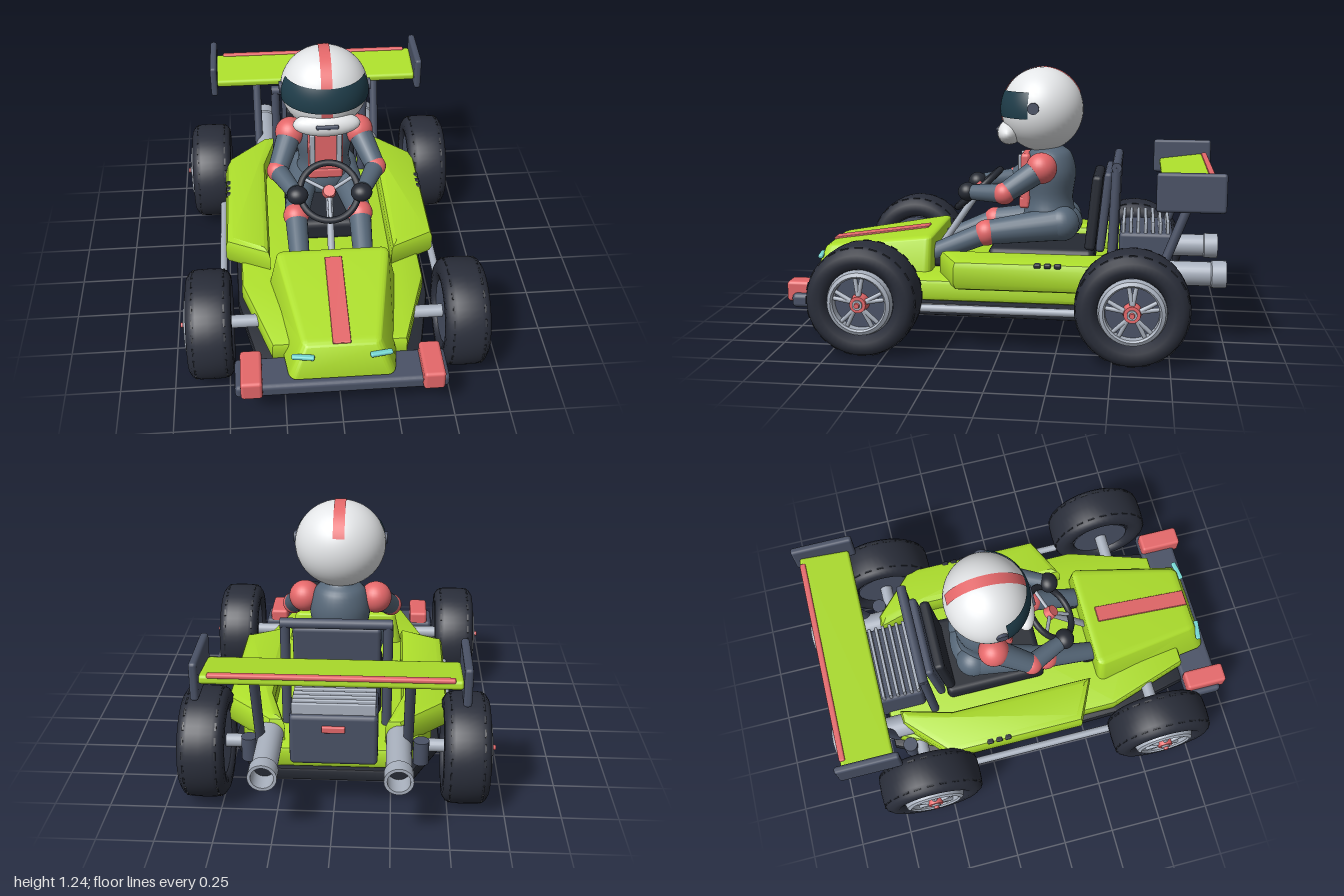
import * as THREE from 'three';
import { toCreasedNormals } from 'three/addons/utils/BufferGeometryUtils.js';
import { RoundedBoxGeometry } from 'three/addons/geometries/RoundedBoxGeometry.js';

const mat = (color, side = THREE.FrontSide) => new THREE.MeshStandardMaterial({ color, side });
const GREEN = mat(0xaee02c), FRAME = mat(0x4a5266), TYRE = mat(0x2a2e3a), BLACK = mat(0x262a33);
const RED = mat(0xe5686a), METAL = mat(0xa9b1be), WHITE = mat(0xe4e6e8), SUIT = mat(0x566778);
const VISOR = mat(0x1f3d4a, THREE.DoubleSide), STRIPE = mat(0xe5686a, THREE.DoubleSide), LAMP = mat(0x74d6d2);
const V = (x, y, z) => new THREE.Vector3(x, y, z);

export function createModel() {
  const root = new THREE.Group();
  const add = (name, geo, m, p = [0, 0, 0], parent = root) => {
    const o = new THREE.Mesh(geo, m);
    o.name = name;
    o.position.set(...p);
    parent.add(o);
    return o;
  };
  const box = (name, m, size, p, r = 0.01, parent = root) =>
    add(name, new RoundedBoxGeometry(...size, 2, r), m, p, parent);
  const ball = (name, m, r, p, scale = [1, 1, 1], parent = root) => {
    const o = add(name, new THREE.SphereGeometry(r, 28, 20), m, p, parent);
    o.scale.set(...scale);
    return o;
  };
  // Round bar from a to b, with its own radius at each end
  const rod = (name, m, a, b, ra, rb = ra, parent = root) => {
    const A = V(...a), B = V(...b), d = B.clone().sub(A);
    const o = add(name, new THREE.CylinderGeometry(rb, ra, d.length(), 20), m,
      A.clone().add(B).multiplyScalar(0.5).toArray(), parent);
    o.quaternion.setFromUnitVectors(V(0, 1, 0), d.normalize());
    return o;
  };
  // Bevelled slab: plan outline of [x, z] points between two heights
  const slab = (name, m, pts, y0, y1, b) => {
    const shape = new THREE.Shape(pts.map(([x, z]) => new THREE.Vector2(x, -z)));
    const geo = new THREE.ExtrudeGeometry(shape, {
      depth: y1 - y0 - 2 * b, bevelSize: b, bevelThickness: b, bevelOffset: -b, bevelSegments: 2 });
    geo.rotateX(-Math.PI / 2).translate(0, y0 + b, 0);
    return add(name, toCreasedNormals(geo, 0.5), m);
  };
  const mirror = (half) => [...half, ...half.map(([x, z]) => [-x, z]).reverse()];

  // Chassis
  slab('floorPan', BLACK, mirror([[0.36, 0.82], [0.45, 0.42], [0.47, -0.45], [0.34, -0.72]]), 0.14, 0.2, 0.012);
  slab('lowerBody', GREEN, mirror([[0.3, 0.8], [0.43, 0.4], [0.43, -0.46], [0.31, -0.71]]), 0.2, 0.3, 0.02);
  box('frontBumper', FRAME, [0.94, 0.065, 0.18], [0, 0.19, 0.88], 0.02);

  // Nose: a rounded box tapered forwards and upwards
  const nose = new RoundedBoxGeometry(1, 1, 1, 4, 0.07), np = nose.attributes.position;
  const mix = THREE.MathUtils.lerp;
  for (let i = 0; i < np.count; i++) {
    const u = np.getX(i) * 2, v = np.getY(i) + 0.5, w = np.getZ(i) + 0.5;
    np.setXYZ(i, u * mix(mix(0.315, 0.265, v), mix(0.235, 0.165, v), w),
      mix(0.225, mix(0.465, 0.385, w), v), mix(0.355, mix(0.95, 0.895, v), w));
  }
  add('nose', toCreasedNormals(nose, 0.5), GREEN);
  const stripe = box('noseStripe', RED, [0.08, 0.012, 0.48], [0, 0.423, 0.655], 0.004);
  stripe.rotation.x = Math.atan(0.08 / 0.54);

  // Both-sided bodywork and frame parts
  for (const s of [-1, 1]) {
    slab('sidePod', GREEN, [[0.29, 0.31], [0.5, 0.21], [0.5, -0.45], [0.29, -0.65], [0.22, -0.65], [0.29, -0.4]]
      .map(([x, z]) => [s * x, z]), 0.27, 0.41, 0.035);
    for (const z of [-0.165, -0.21, -0.255])
      box('podVent', BLACK, [0.03, 0.022, 0.032], [s * 0.483, 0.395, z], 0.008);
    box('bumperBlock', RED, [0.095, 0.095, 0.205], [s * 0.397, 0.227, 0.897], 0.015);
    box('headlight', LAMP, [0.1, 0.02, 0.025], [s * 0.17, 0.338, 0.915], 0.008).rotation.y = s * 0.15;
    rod('sideRail', METAL, [s * 0.52, 0.195, 0.55], [s * 0.52, 0.195, -0.55], 0.018);
    rod('wingStrut', FRAME, [s * 0.32, 0.3, -0.69], [s * 0.32, 0.71, -0.845], 0.022);
    box('wingEndPlate', FRAME, [0.035, 0.17, 0.295], [s * 0.543, 0.748, -0.823], 0.014);
    rod('rearDamper', FRAME, [s * 0.38, 0.2, -0.64], [s * 0.38, 0.31, -0.64], 0.035);
    rod('rollBarPost', FRAME, [s * 0.225, 0.28, -0.48], [s * 0.225, 0.8, -0.5], 0.022);
    // Exhaust with an open flared tip
    const pipe = [[0, 0], [0.055, 0], [0.055, 0.33], [0.062, 0.335], [0.062, 0.4], [0.048, 0.4], [0.048, 0.3]]
      .map(([x, y]) => new THREE.Vector2(x, y));
    const ex = new THREE.LatheGeometry(pipe, 28).rotateX(-Math.PI / 2);
    add('exhaust', toCreasedNormals(ex, 0.6), METAL, [s * 0.28, 0.33, -0.6]);
    add('exhaustBore', new THREE.CircleGeometry(0.05, 24).rotateY(Math.PI), BLACK, [s * 0.28, 0.33, -0.91]);
  }
  rod('rollBarTop', FRAME, [-0.245, 0.8, -0.5], [0.245, 0.8, -0.5], 0.023);

  // Rear wing
  box('rearWing', GREEN, [1.06, 0.04, 0.24], [0, 0.732, -0.825], 0.015).rotation.x = 0.13;
  box('wingTrim', RED, [0.99, 0.02, 0.028], [0, 0.764, -0.932], 0.008);

  // Engine with cooling fins
  box('engineBlock', FRAME, [0.38, 0.24, 0.25], [0, 0.37, -0.64], 0.02);
  for (let i = 0; i < 7; i++)
    box('coolingFin', METAL, [0.36, 0.06, 0.016], [0, 0.51, -0.535 - i * 0.034], 0.005);
  box('tailLight', RED, [0.1, 0.03, 0.02], [0, 0.43, -0.768], 0.006);

  // Seat
  box('seatBase', BLACK, [0.4, 0.11, 0.5], [0, 0.345, -0.15], 0.03);
  box('seatBack', BLACK, [0.35, 0.36, 0.05], [0, 0.57, -0.395], 0.02).rotation.x = -0.1;
  box('seatShell', FRAME, [0.39, 0.38, 0.04], [0, 0.58, -0.445], 0.018).rotation.x = -0.1;

  // Wheels: built with the outer face towards +x
  const tyreProfile = [[0.13, 0], [0.15, -0.085], [0.18, -0.102], [0.215, -0.1], [0.238, -0.085], [0.248, -0.055],
    [0.25, 0], [0.248, 0.055], [0.238, 0.085], [0.215, 0.1], [0.18, 0.102], [0.15, 0.085], [0.13, 0]]
    .map(([x, y]) => new THREE.Vector2(x, y));
  const tyreGeo = new THREE.LatheGeometry(tyreProfile, 48).rotateZ(-Math.PI / 2);
  const rimGeo = toCreasedNormals(new THREE.LatheGeometry(
    [[0.116, 0.05], [0.116, 0.106], [0.124, 0.114], [0.14, 0.106], [0.148, 0.08]]
      .map(([x, y]) => new THREE.Vector2(x, y)), 40).rotateZ(-Math.PI / 2), 0.6);
  const rimMat = mat(0xa9b1be, THREE.DoubleSide);
  for (const z of [0.595, -0.585]) {
    rod('axle', METAL, [-0.5, 0.255, z], [0.5, 0.255, z], 0.03);
    for (const s of [-1, 1]) {
      const wheel = new THREE.Group();
      wheel.name = 'wheel';
      wheel.position.set(s * 0.575, 0.25, z);
      wheel.rotation.y = s > 0 ? 0 : Math.PI;
      root.add(wheel);
      add('tyre', tyreGeo, mat(0x2a2e3a, THREE.DoubleSide), [0, 0, 0], wheel);
      add('rim', rimGeo, rimMat, [0, 0, 0], wheel);
      rod('wheelDisc', FRAME, [-0.085, 0, 0], [0.065, 0, 0], 0.145, 0.125, wheel);
      for (let i = 0; i < 5; i++) {
        const a = i * Math.PI * 0.4 + Math.PI / 2;
        for (const d of [-0.14, 0.14])
          rod('spoke', METAL, [0.098, 0.03 * Math.sin(a), 0.03 * Math.cos(a)],
            [0.09, 0.12 * Math.sin(a + d), 0.12 * Math.cos(a + d)], 0.011, 0.009, wheel);
      }
      rod('hub', RED, [0.07, 0, 0], [0.118, 0, 0], 0.042, 0.036, wheel);
      rod('hubNut', METAL, [0.11, 0, 0], [0.126, 0, 0], 0.022, 0.022, wheel);
      rod('hubCap', RED, [0.12, 0, 0], [0.137, 0, 0], 0.014, 0.011, wheel);
      // Tread notches on both shoulders
      for (let i = 0; i < 24; i++) {
        const a = i * Math.PI / 12;
        for (const x of [-0.07, 0.07]) {
          const n = add('treadNotch', new THREE.BoxGeometry(0.008, 0.006, 0.035), BLACK,
            [x, 0.243 * Math.cos(a), 0.243 * Math.sin(a)], wheel);
          n.rotation.x = a;
        }
      }
    }
  }

  // Steering
  rod('steeringColumn', METAL, [0, 0.36, 0.36], [0, 0.645, 0.165], 0.017);
  const steering = new THREE.Group();
  steering.name = 'steeringWheel';
  steering.position.set(0, 0.65, 0.17);
  steering.rotation.x = -0.845;
  root.add(steering);
  add('steeringRim', new THREE.TorusGeometry(0.138, 0.016, 12, 40), BLACK, [0, 0, 0], steering);
  for (const a of [Math.PI / 6, Math.PI * 5 / 6, Math.PI * 1.5])
    rod('steeringSpoke', METAL, [0, 0, 0], [0.135 * Math.cos(a), 0.135 * Math.sin(a), 0], 0.009, 0.009, steering);
  rod('steeringHub', RED, [0, 0, -0.012], [0, 0, 0.025], 0.034, 0.028, steering);

  // Driver's body
  const torso = new THREE.SplineCurve([[0.001, 0.43], [0.1, 0.44], [0.14, 0.52], [0.125, 0.62], [0.14, 0.74],
    [0.115, 0.83], [0.065, 0.87], [0.06, 0.92]].map(([x, y]) => new THREE.Vector2(x, y))).getPoints(32);
  add('torso', new THREE.LatheGeometry(torso, 32), SUIT, [0, 0, -0.175]).scale.z = 0.9;
  ball('hips', SUIT, 0.1, [0, 0.5, -0.22], [1.6, 0.85, 1.15]);
  box('chestPanel', RED, [0.17, 0.25, 0.05], [0, 0.71, -0.065], 0.018);
  box('beltBuckle', RED, [0.17, 0.06, 0.05], [0, 0.6, -0.06], 0.015);
  for (const s of [-1, 1]) {
    box('harnessStrap', METAL, [0.025, 0.18, 0.02], [s * 0.065, 0.74, -0.04], 0.006);
    const shoulder = [s * 0.165, 0.78, -0.15], elbow = [s * 0.235, 0.67, 0.015], wrist = [s * 0.165, 0.66, 0.17];
    ball('shoulder', RED, 0.073, shoulder);
    rod('upperArm', SUIT, shoulder, elbow, 0.06, 0.048);
    ball('elbow', RED, 0.052, elbow);
    rod('forearm', SUIT, elbow, wrist, 0.047, 0.037);
    ball('glove', BLACK, 0.046, [s * 0.15, 0.66, 0.2], [1.1, 0.95, 1]);
    const hip = [s * 0.09, 0.505, -0.24], knee = [s * 0.155, 0.465, 0.11];
    ball('hipJoint', SUIT, 0.085, hip);
    rod('thigh', SUIT, hip, knee, 0.082, 0.058);
    ball('knee', RED, 0.062, knee);
    rod('shin', SUIT, knee, [s * 0.15, 0.36, 0.36], 0.054, 0.046);
    box('boot', BLACK, [0.08, 0.07, 0.14], [s * 0.15, 0.33, 0.37], 0.025);
  }

  // Helmet: unit sphere parts inside one scaled group
  const helmet = new THREE.Group();
  helmet.name = 'helmet';
  helmet.position.set(0, 1.04, -0.138);
  helmet.scale.set(0.207, 0.199, 0.195);
  root.add(helmet);
  add('helmetShell', new THREE.SphereGeometry(1, 48, 32), WHITE, [0, 0, 0], helmet);
  add('visor', new THREE.SphereGeometry(1.025, 40, 10, Math.PI / 2 - 1.32, 2.64, 1.1, 0.62), VISOR, [0, 0, 0], helmet);
  add('helmetStripe', new THREE.CylinderGeometry(1.01, 1.01, 0.25, 48, 1, true, -0.28, 3.0).rotateZ(Math.PI / 2),
    STRIPE, [0, 0, 0], helmet);
  ball('chinGuard', WHITE, 1, [0, 0.93, 0.015], [0.158, 0.06, 0.06]);
  box('chinVent', FRAME, [0.105, 0.02, 0.02], [0, 0.945, 0.069], 0.007);
  for (const s of [-1, 1])
    rod('visorPivot', FRAME, [s * 0.185, 1.06, -0.115], [s * 0.214, 1.06, -0.115], 0.027);

  return root;
}
